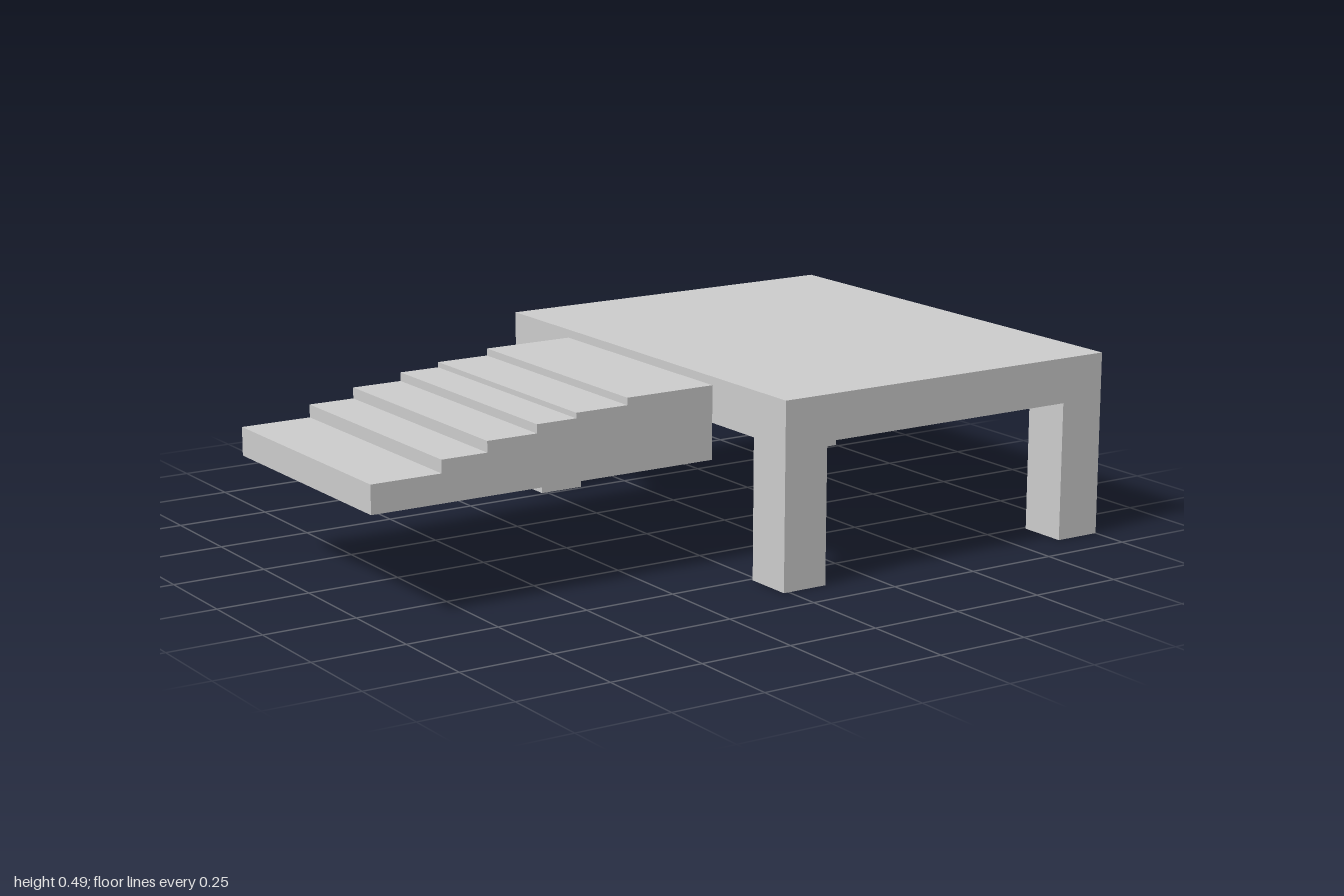
import * as THREE from 'three';

const material = new THREE.MeshStandardMaterial({ color: 0xcccccc, flatShading: true });

// Box given by its low and high corners
function addBox(parent, name, [x0, y0, z0], [x1, y1, z1]) {
  const mesh = new THREE.Mesh(new THREE.BoxGeometry(x1 - x0, y1 - y0, z1 - z0), material);
  mesh.position.set((x0 + x1) / 2, (y0 + y1) / 2, (z0 + z1) / 2);
  mesh.name = name;
  parent.add(mesh);
}

// Table: thick slab on four corner legs
function createTable() {
  const table = new THREE.Group();
  table.name = 'table';
  const left = -0.015, right = 1, depth = 0.645, under = 0.37;
  addBox(table, 'tableTop', [left, under, -depth], [right, 0.49, depth]);
  for (const x of [left, right - 0.127]) {
    for (const z of [-depth, depth - 0.135]) {
      addBox(table, 'leg', [x, 0, z], [x + 0.127, under, z + 0.135]);
    }
  }
  return table;
}

// Steps: one stepped side profile extruded across the width
function createSteps() {
  const base = 0.277, end = -0.023;
  const treads = [[-1, 0.352], [-0.807, 0.386], [-0.68, 0.415], [-0.54, 0.438], [-0.427, 0.452], [-0.278, 0.471]];
  const profile = new THREE.Shape();
  profile.moveTo(-1, base);
  profile.lineTo(end, base);
  for (let i = treads.length - 1; i >= 0; i--) {
    const [x, y] = treads[i];
    profile.lineTo(i === treads.length - 1 ? end : treads[i + 1][0], y);
    profile.lineTo(x, y);
  }
  profile.closePath();
  const geometry = new THREE.ExtrudeGeometry(profile, { depth: 0.69, bevelEnabled: false });
  const steps = new THREE.Mesh(geometry, material);
  steps.position.z = -0.352;
  steps.name = 'steps';
  return steps;
}

export function createModel() {
  const model = new THREE.Group();
  model.name = 'tableWithSteps';
  model.add(createTable(), createSteps());
  return model;
}
